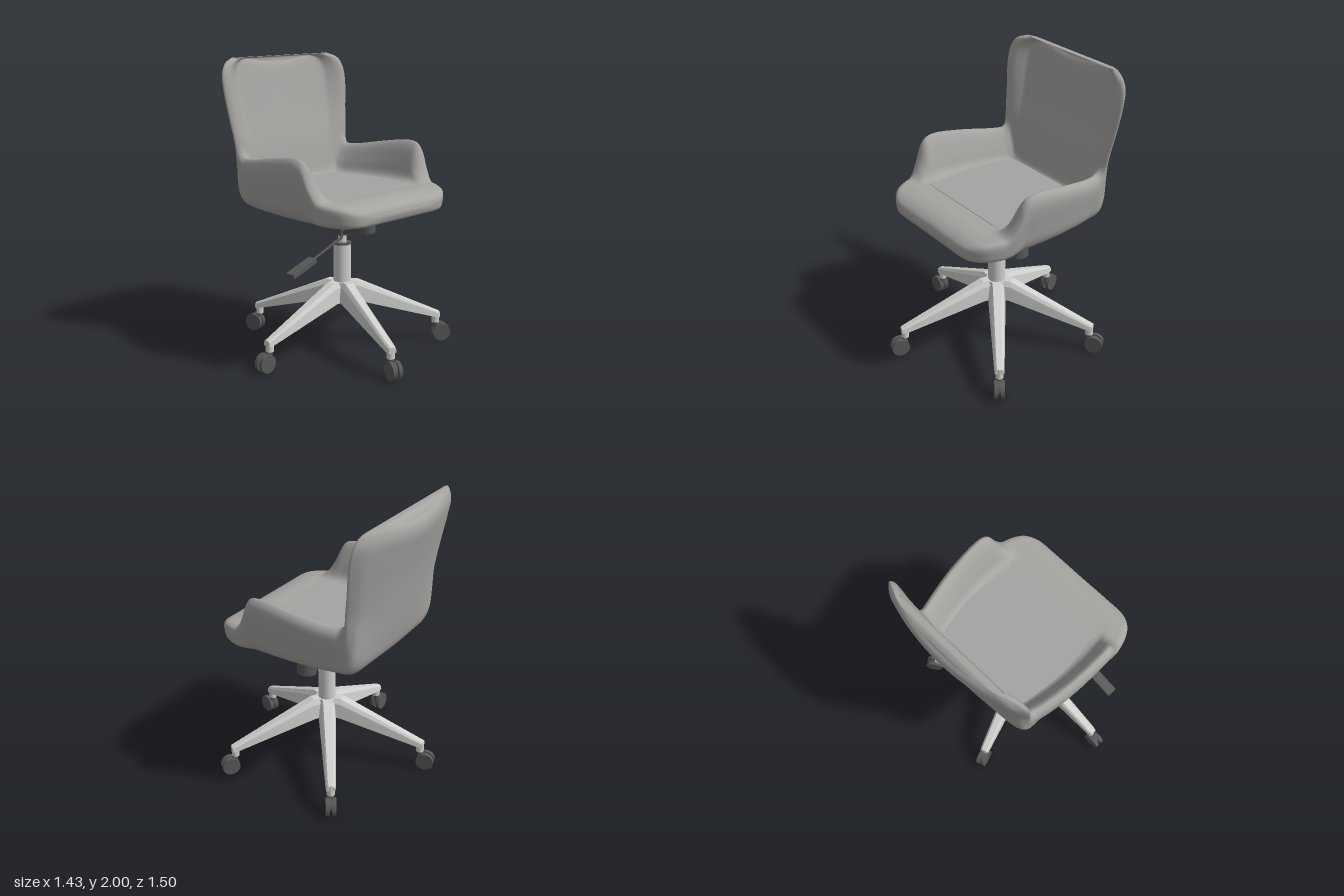
import * as THREE from 'three';
import { mergeVertices, toCreasedNormals } from 'three/addons/utils/BufferGeometryUtils.js';

const fabric = new THREE.MeshStandardMaterial({ color: 0xa6a4a1 });
fabric.name = 'grey fabric';
const metal = new THREE.MeshStandardMaterial({ color: 0xd0d0ce });
metal.name = 'light metal';
const dark = new THREE.MeshStandardMaterial({ color: 0x585858 });
dark.name = 'dark plastic';

const V = (x, y, z) => new THREE.Vector3(x, y, z);
const lerp = THREE.MathUtils.lerp;

function add(parent, name, geometry, material, x = 0, y = 0, z = 0) {
  const mesh = new THREE.Mesh(geometry, material);
  mesh.name = name;
  mesh.position.set(x, y, z);
  parent.add(mesh);
  return mesh;
}

const cyl = (r, h, sides = 28, rBottom = r) => new THREE.CylinderGeometry(r, rBottom, h, sides);

// Box whose bottom face is shrunk by a ratio
function taperedBox(w, h, d, ratio) {
  const g = new THREE.BoxGeometry(w, h, d);
  const p = g.attributes.position;
  for (let i = 0; i < p.count; i++) {
    if (p.getY(i) < 0) p.setXYZ(i, p.getX(i) * ratio, p.getY(i), p.getZ(i) * ratio);
  }
  return toCreasedNormals(g, 0.3);
}

// Completes a right-hand half section into a closed symmetric loop
const mirrorLoop = (half) =>
  half.concat(half.slice(1, -1).reverse().map((p) => V(-p.x, p.y, p.z)));

// Skins a list of symmetric closed loops and caps both ends
function skin(rows) {
  const n = rows[0].length;
  const last = (rows.length - 1) * n;
  const index = [];
  for (let j = 0; j < rows.length - 1; j++) {
    for (let i = 0; i < n; i++) {
      const a = j * n + i, b = j * n + ((i + 1) % n);
      index.push(a, a + n, b, b, a + n, b + n);
    }
  }
  for (let i = 0; i < n / 2; i++) {
    const [a, b, c, d] = [i, i + 1, n - i - 1, (n - i) % n];
    index.push(a, b, c, a, c, d);
    index.push(last + a, last + c, last + b, last + a, last + d, last + c);
  }
  const g = new THREE.BufferGeometry().setFromPoints(rows.flat());
  g.setIndex(index);
  const merged = mergeVertices(g);
  merged.computeVertexNormals();
  return merged;
}

// Upright seat sections, front to rear: [z, bottom y, rim y, rim half width]
const seat = [
  [0.55, 1.035, 1.05, 0.30], [0.535, 1.0, 1.09, 0.41], [0.48, 0.99, 1.125, 0.49],
  [0.40, 0.988, 1.14, 0.535], [0.33, 0.988, 1.155, 0.555], [0.27, 0.988, 1.25, 0.575],
  [0.21, 0.988, 1.385, 0.588], [0.14, 0.988, 1.412, 0.595], [-0.10, 0.988, 1.385, 0.585],
  [-0.30, 0.988, 1.35, 0.555], [-0.39, 0.988, 1.34, 0.535],
].map(([z, bottom, rim, w]) => {
  const floor = Math.min(rim, 1.127 + 0.035 * Math.max(z, 0));
  return { out: [z, bottom], floor: [z, floor], rim: [z, rim], wOut: w - 0.01 - 0.13 * (rim - floor), wRim: w, bow: 0 };
});

// Sections fanning round the rear corner: outside, floor and rim as (z, y), half widths, bow
const bend = [
  [-0.48, 1.0, -0.41, 1.13, -0.425, 1.342, 0.50, 0.525, 0.03],
  [-0.535, 1.05, -0.435, 1.16, -0.45, 1.36, 0.49, 0.522, 0.1],
  [-0.57, 1.17, -0.455, 1.25, -0.467, 1.395, 0.48, 0.523, 0.25],
  [-0.605, 1.36, -0.49, 1.41, -0.478, 1.47, 0.475, 0.532, 0.4],
].map(([oz, oy, fz, fy, rz, ry, wOut, wRim, bow]) => (
  { out: [oz, oy], floor: [fz, fy], rim: [rz, ry], wOut, wRim, bow }));

// Level backrest sections: [y, rear z, front z, wing edge z, half width]
const back = [
  [1.6, -0.645, -0.545, -0.50, 0.552], [1.8, -0.685, -0.595, -0.525, 0.575],
  [1.905, -0.704, -0.62, -0.545, 0.565], [1.965, -0.695, -0.637, -0.565, 0.525],
  [1.996, -0.672, -0.655, -0.60, 0.45],
].map(([y, oz, fz, rz, w]) => (
  { out: [oz, y], floor: [fz, y], rim: [rz, y], wOut: w - 0.057, wRim: w, bow: 0.45 }));

// Half section of the shell: outside, rounded rim, sloped inside, floor
function shellSection({ out, floor, rim, wOut, wRim, bow }) {
  const wIn = wRim - 0.17, rimIn = wRim - 0.075;
  const between = (from) => (x, k) => V(x, lerp(from[1], rim[1], k), lerp(from[0], rim[0], k));
  const outer = between(out), inner = between(floor);
  const side = (k) => bow + (1 - bow) * k;
  const half = [
    outer(0, 0), outer(wOut * 0.5, bow * 0.25), outer(wOut - 0.08, bow * 0.8),
    outer(wOut - 0.01, side(0.13)), outer(lerp(wOut, wRim, 0.5), side(0.45)),
    outer(wRim, side(0.8)), outer(wRim - 0.01, side(0.93)), outer(wRim - 0.038, 1),
    inner(rimIn, 0.87), inner(lerp(wIn, rimIn, 0.5), 0.45),
    inner(wIn + 0.01, 0.1), inner(wIn - 0.07, 0.01), inner(wIn * 0.5, 0), inner(0, 0),
  ];
  // The top edge dips gently in the middle
  for (const p of half) {
    const weight = THREE.MathUtils.clamp((p.y - 1.5) / 0.45, 0, 1);
    if (p.x < 0.42) p.y -= 0.04 * weight * Math.cos((p.x / 0.42) * Math.PI / 2) ** 2;
  }
  return mirrorLoop(half);
}

// One smooth skin along the seat, round the corner and up the back
function shellGeometry() {
  const control = [...seat, ...bend, ...back].map(shellSection);
  const steps = (control.length - 1) * 4;
  const columns = control[0].map((_, i) => new THREE.CatmullRomCurve3(control.map((row) => row[i])));
  const n = columns.length * 4;
  const rows = [];
  for (let j = 0; j <= steps; j++) {
    const loop = new THREE.CatmullRomCurve3(columns.map((c) => c.getPoint(j / steps)), true);
    rows.push(Array.from({ length: n }, (_, i) => loop.getPoint(i / n)));
  }
  return skin(rows);
}

// Thin seat pad with rounded rear corners
function padGeometry() {
  const s = new THREE.Shape();
  s.moveTo(-0.42, -0.28);
  s.lineTo(0.42, -0.28);
  s.lineTo(0.395, 0.36);
  s.quadraticCurveTo(0.39, 0.42, 0.33, 0.42);
  s.lineTo(-0.33, 0.42);
  s.quadraticCurveTo(-0.39, 0.42, -0.395, 0.36);
  const g = new THREE.ExtrudeGeometry(s, {
    depth: 0.02, bevelThickness: 0.005, bevelSize: 0.005, bevelSegments: 2, curveSegments: 8,
  });
  return g.rotateX(-Math.PI / 2);
}

// Tapered leg running along -z: [distance, bottom, top, bottom half width, top half width]
function legGeometry() {
  const rows = [
    [0, 0.34, 0.475, 0.06, 0.05], [0.11, 0.335, 0.475, 0.06, 0.05],
    [0.665, 0.178, 0.226, 0.034, 0.03], [0.7, 0.175, 0.212, 0.03, 0.024],
  ].map(([r, b, t, wb, wt]) => mirrorLoop([
    V(0, b, -r), V(wb, b, -r), V(wt, lerp(b, t, 0.75), -r), V(wt * 0.6, t, -r), V(0, t, -r),
  ]));
  return toCreasedNormals(skin(rows), 0.35);
}

function addLeg(parent, angle) {
  const leg = new THREE.Group();
  leg.name = 'leg';
  leg.rotation.y = angle;
  parent.add(leg);
  add(leg, 'legArm', legGeometry(), metal);
  add(leg, 'casterSocket', cyl(0.027, 0.075), metal, 0, 0.17, -0.675);
  add(leg, 'casterStem', cyl(0.02, 0.06), dark, 0, 0.115, -0.68);
  for (const side of [-1, 1]) {
    add(leg, 'casterWheel', cyl(0.062, 0.026).rotateZ(Math.PI / 2), dark, side * 0.022, 0.062, -0.715);
  }
  add(leg, 'casterAxle', cyl(0.045, 0.03).rotateZ(Math.PI / 2), dark, 0, 0.072, -0.71);
}

export function createModel() {
  const chair = new THREE.Group();
  chair.name = 'officeChair';
  const body = new THREE.Group();
  body.name = 'chairBody';
  body.position.x = 0.06;
  chair.add(body);

  // Upholstery
  add(body, 'seatShell', shellGeometry(), fabric);
  add(body, 'seatPad', padGeometry(), fabric, 0, 1.116, 0);

  // Tilt mechanism under the seat
  add(body, 'mountPlate', new THREE.BoxGeometry(0.54, 0.018, 0.46), dark, 0, 0.98, 0);
  add(body, 'mountTray', taperedBox(0.48, 0.035, 0.42, 0.8), dark, 0, 0.955, 0);
  add(body, 'mechanismBox', new THREE.BoxGeometry(0.3, 0.065, 0.27), dark, 0, 0.907, 0);
  add(body, 'mechanismFunnel', taperedBox(0.26, 0.055, 0.24, 0.65), dark, 0, 0.85, 0);

  // Tension knob with ribbed sleeve
  const knob = new THREE.Group();
  knob.name = 'tensionKnob';
  knob.position.set(0.235, 0.82, 0);
  knob.rotation.z = 0.1;
  body.add(knob);
  add(knob, 'knobGrip', cyl(0.07, 0.09, 28, 0.066), dark);
  add(knob, 'sleeve', cyl(0.048, 0.12), dark, 0, 0.1, 0);
  for (let i = 0; i < 6; i++) {
    add(knob, 'sleeveRib', new THREE.TorusGeometry(0.05, 0.009, 8, 28).rotateX(Math.PI / 2), dark, 0, 0.058 + i * 0.018, 0);
  }

  // Height lever
  const path = new THREE.CatmullRomCurve3([
    V(-0.1, 0.915, 0.11), V(-0.12, 0.915, 0.18), V(-0.195, 0.912, 0.19),
    V(-0.2, 0.905, 0.19), V(-0.2, 0.855, 0.19), V(-0.205, 0.847, 0.19), V(-0.48, 0.74, 0.19),
  ], false, 'catmullrom', 0.1);
  add(body, 'leverRod', new THREE.TubeGeometry(path, 60, 0.009, 8), dark);
  const paddle = add(body, 'leverPaddle', new THREE.BoxGeometry(0.21, 0.028, 0.07), dark, -0.56, 0.715, 0.19);
  paddle.rotation.z = 0.34;

  // Gas lift column
  add(body, 'columnCollar', cyl(0.036, 0.03), dark, 0, 0.815, 0);
  add(body, 'columnRod', cyl(0.03, 0.08), metal, 0, 0.78, 0);
  add(body, 'columnRing', cyl(0.063, 0.012), dark, 0, 0.743, 0);
  add(body, 'column', cyl(0.06, 0.29), metal, 0, 0.595, 0);

  // Five-star base
  add(body, 'hub', cyl(0.075, 0.135, 30), metal, 0, 0.405, 0);
  for (let i = 0; i < 5; i++) addLeg(body, Math.PI / 2 + (i * Math.PI * 2) / 5);

  return chair;
}
